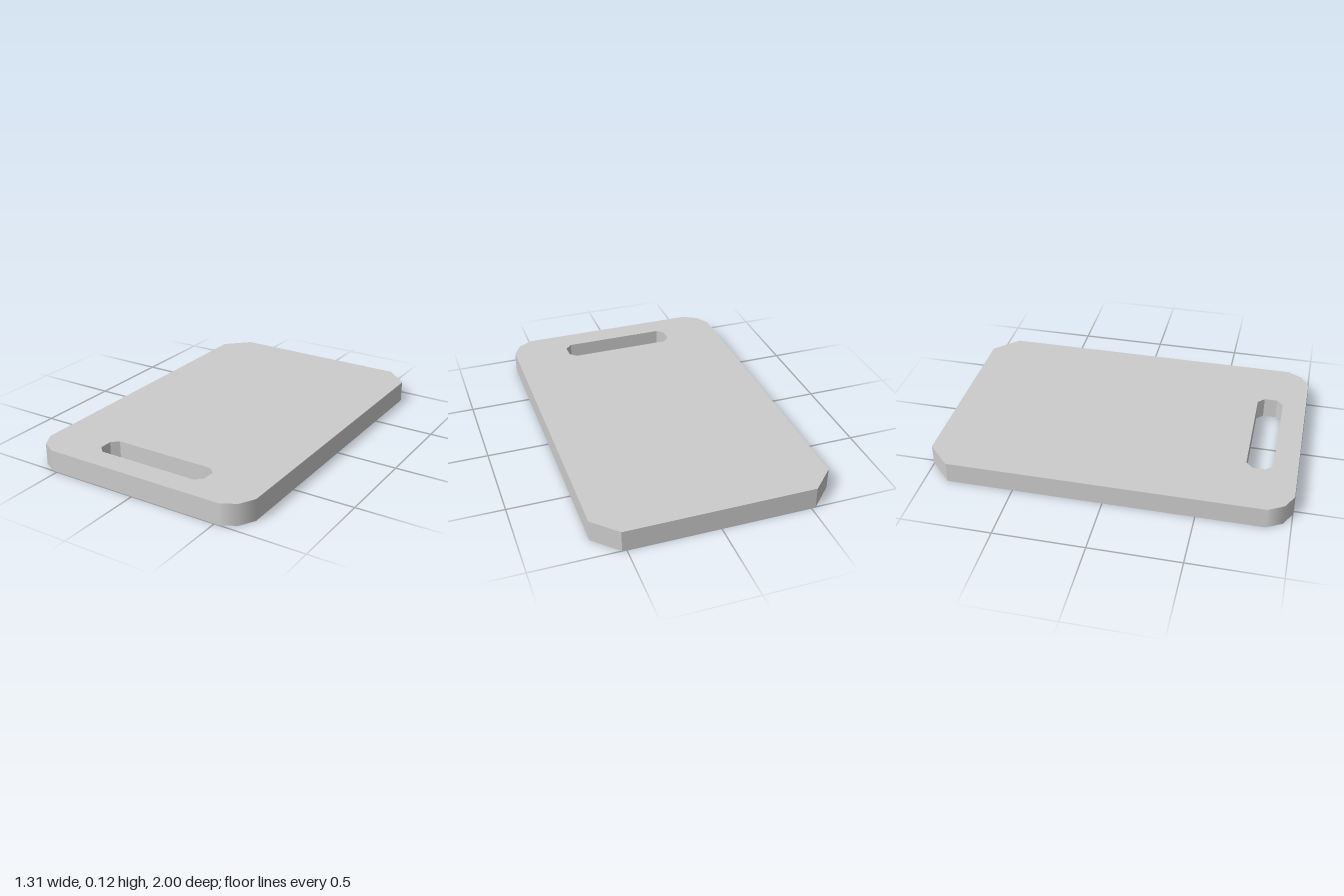
import * as THREE from 'three';

const HEIGHT = 0.12;
const CX = 0.525, CZ = 0.87; // centre of each corner

// Builds a left-right symmetric outline from its +x half, as [x, z] pairs
const mirrored = (half) => [
  ...half,
  ...half.map(([x, z]) => [-x, z]).reverse(),
].map(([x, z]) => new THREE.Vector2(x, z));

export function createModel() {
  const group = new THREE.Group();
  group.name = 'cuttingBoard';

  // Board outline: chamfered back corners, rounded front corners
  const shape = new THREE.Shape(mirrored([
    [CX, -1], [0.655, -CZ], [0.655, CZ], [0.608, 0.955], [CX, 1],
  ]));

  // Handle slot with clipped corners
  shape.holes.push(new THREE.Path(mirrored([
    [0.292, 0.72], [0.33, 0.757], [0.33, 0.83], [0.292, 0.867],
  ])));

  const geometry = new THREE.ExtrudeGeometry(shape, { depth: HEIGHT, bevelEnabled: false });
  geometry.rotateX(Math.PI / 2).translate(0, HEIGHT, 0);

  // Smooth the walls of the two front corners with radial normals
  const { position, normal } = geometry.attributes;
  for (let i = 0; i < position.count; i++) {
    const x = position.getX(i), z = position.getZ(i);
    const isWall = Math.abs(normal.getY(i)) < 0.5;
    if (isWall && Math.abs(x) > CX - 0.001 && z > CZ - 0.001) {
      const n = new THREE.Vector3(x - Math.sign(x) * CX, 0, z - CZ).normalize();
      normal.setXYZ(i, n.x, n.y, n.z);
    }
  }

  const board = new THREE.Mesh(geometry, new THREE.MeshStandardMaterial({ color: 0xcccccc }));
  board.name = 'board';
  group.add(board);
  return group;
}
